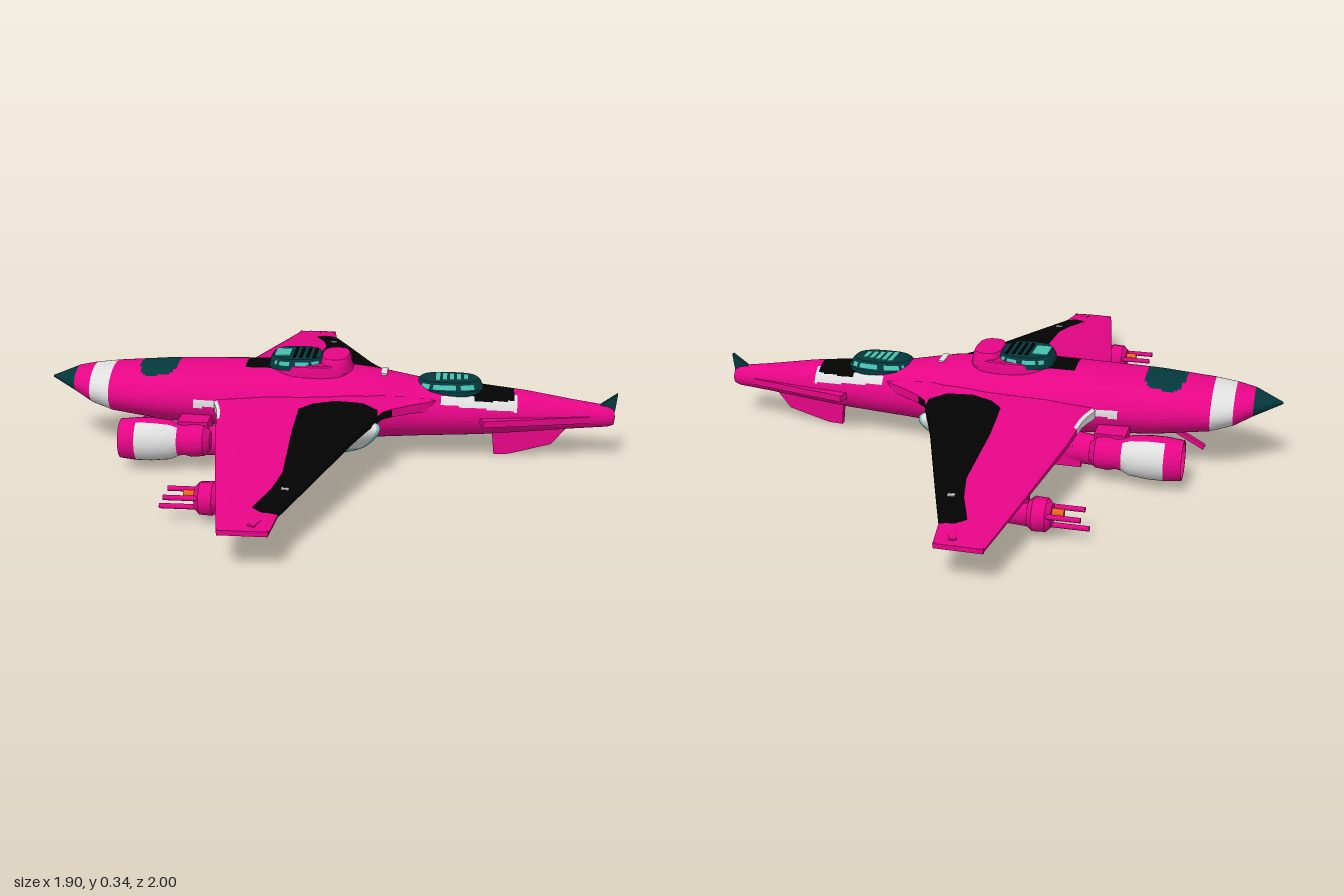
import * as THREE from 'three';
import { toCreasedNormals } from 'three/addons/utils/BufferGeometryUtils.js';

const mat = (name, color, side = THREE.FrontSide) => {
  const m = new THREE.MeshStandardMaterial({ color, side });
  m.name = name;
  return m;
};

export function createModel() {
  const model = new THREE.Group();
  const PINK = 0, WHITE = 1, BLACK = 2, DARK = 3, TEAL = 4, ORANGE = 5, NAVY = 6, PALE = 7;
  const mats = [
    mat('magenta', 0xe50586), mat('offWhite', 0xdedede, THREE.DoubleSide), mat('black', 0x030303),
    mat('darkTeal', 0x04383d), mat('lightTeal', 0x45bfae), mat('orange', 0xe8641a), mat('navy', 0x17406e),
    mat('paleTeal', 0x7cc4ba, THREE.DoubleSide),
  ];
  const add = (name, geo, m) => {
    const mesh = new THREE.Mesh(geo, m === undefined ? mats : mats[m]);
    mesh.name = name;
    model.add(mesh);
    return mesh;
  };

  // Surface patch from a rule; colour(centre, i, j) picks the material of each cell
  function grid(name, nu, nv, point, colour, flip = false) {
    const P = [], pos = [], lists = mats.map(() => []);
    for (let i = 0; i <= nu; i++) for (let j = 0; j <= nv; j++) {
      const p = point(i, j);
      P.push(p);
      pos.push(p.x, p.y, p.z);
    }
    for (let i = 0; i < nu; i++) for (let j = 0; j < nv; j++) {
      const a = i * (nv + 1) + j, b = a + nv + 1, c = b + 1, d = a + 1;
      const mid = new THREE.Vector3().add(P[a]).add(P[b]).add(P[c]).add(P[d]).divideScalar(4);
      const list = lists[colour(mid, i, j)];
      if (flip) list.push(a, c, b, a, d, c);
      else list.push(a, b, c, a, c, d);
    }
    const geo = new THREE.BufferGeometry();
    geo.setAttribute('position', new THREE.Float32BufferAttribute(pos, 3));
    let start = 0;
    lists.forEach((l, k) => {
      if (l.length) geo.addGroup(start, l.length, k);
      start += l.length;
    });
    geo.setIndex(lists.flat());
    return add(name, toCreasedNormals(geo, 0.6));
  }

  // Rounded body along x; section = [x, centre z, half width, top, middle, bottom]
  function loft(name, sections, colour = () => PINK, sides = 24) {
    return grid(name, sections.length - 1, sides, (i, j) => {
      const [x, cz, w, top, mid, bot] = sections[i];
      const t = (j % sides) / sides * Math.PI * 2, s = Math.sin(t);
      return new THREE.Vector3(x, mid + s * (s > 0 ? top - mid : mid - bot), cz + w * Math.cos(t));
    }, colour);
  }
  const round = (cy, cz, profile) => profile.map(([x, r]) => [x, cz, r, cy + r, cy, cy - r]);

  // Rounded-oblong dome of stacked rings [scale, y], closing on top
  function dome(name, x, rx, rz, rings, colour = () => PINK) {
    const soft = (v) => Math.sign(v) * Math.abs(v) ** 0.75;
    return grid(name, rings.length - 1, 48, (i, j) => {
      const [k, y] = rings[i], t = (j % 48) / 48 * Math.PI * 2;
      return new THREE.Vector3(x + rx * k * soft(Math.cos(t)), y, rz * k * soft(Math.sin(t)));
    }, colour);
  }

  const plate = (points, depth) => new THREE.ExtrudeGeometry(
    new THREE.Shape(points.map(([x, y]) => new THREE.Vector2(x, y))),
    { depth, bevelEnabled: false }).translate(0, 0, -depth / 2);
  const box = (name, m, x, y, z, w, h, d) => add(name, new THREE.BoxGeometry(w, h, d).translate(x, y, z), m);

  // Fuselage: x, half width, top, bottom
  const keys = [
    [-0.95, 0.003, 0.233, 0.227], [-0.86, 0.075, 0.268, 0.185], [-0.8, 0.11, 0.278, 0.15],
    [-0.73, 0.135, 0.285, 0.127], [-0.55, 0.155, 0.298, 0.1], [-0.35, 0.165, 0.303, 0.085],
    [-0.2, 0.18, 0.305, 0.07], [0, 0.175, 0.3, 0.055], [0.15, 0.15, 0.285, 0.06],
    [0.3, 0.115, 0.258, 0.066], [0.5, 0.092, 0.242, 0.075], [0.65, 0.075, 0.225, 0.088],
    [0.8, 0.052, 0.2, 0.102], [0.92, 0.038, 0.182, 0.112], [0.94, 0.028, 0.172, 0.118], [0.945, 0, 0.145, 0.145],
  ];
  const sections = [];
  keys.slice(0, -1).forEach((a, k) => {
    const b = keys[k + 1], n = Math.max(1, Math.round((b[0] - a[0]) / 0.01));
    for (let i = 0; i < n; i++) {
      const [x, w, top, bot] = a.map((v, c) => v + (b[c] - v) * i / n);
      sections.push([x, 0, w, top, top * 0.48 + bot * 0.52, bot]);
    }
  });
  sections.push([0.945, 0, 0, 0.145, 0.145, 0.145]);
  loft('fuselage', sections, ({ x, y, z }) => {
    const az = Math.abs(z);
    if (x < -0.86) return DARK;
    if (x > -0.8 && x < -0.73) return WHITE;
    if (y > 0.2 && ((x + 0.573) / 0.063) ** 4 + (az / 0.097) ** 4 < 1) return DARK;
    if (y > 0.2 && x > -0.28 && x < -0.18 && az < 0.06) return BLACK;
    if (x > 0.4 && x < 0.61 && y > (x < 0.48 ? 0.222 : 0.207)) return BLACK;
    if (x > 0.37 && x < 0.62 && y > 0.2 - (x - 0.37) * 0.1 && y < 0.222) return WHITE;
    if (x > -0.44 && x < -0.34 && y > 0.188 && y < 0.213) return WHITE;
    return PINK;
  }, 96);

  // Wings: z, leading x, trailing x, black from, black to, centre y, half thickness
  const stations = [
    [0.06, -0.39, 0.4, 0.05, 0.05, 0.195, 0.05], [0.1, -0.385, 0.34, 0.05, 0.05, 0.195, 0.046],
    [0.14, -0.375, 0.27, 0.05, 0.06, 0.195, 0.042], [0.18, -0.365, 0.215, 0.03, 0.12, 0.195, 0.038],
    [0.21, -0.355, 0.185, -0.04, 0.17, 0.195, 0.035], [0.25, -0.345, 0.172, -0.08, 0.172, 0.194, 0.031],
    [0.3, -0.338, 0.15, -0.082, 0.15, 0.189, 0.027],
    [0.4, -0.325, 0.11, -0.085, 0.11, 0.178, 0.021], [0.66, -0.28, 0.02, -0.08, 0.02, 0.153, 0.015],
    [0.76, -0.263, -0.015, -0.1, -0.015, 0.143, 0.013], [0.87, -0.243, -0.054, -0.14, -0.054, 0.132, 0.011],
    [0.895, -0.239, -0.063, -0.11, -0.063, 0.13, 0.01], [1, -0.22, -0.075, -0.11, -0.075, 0.12, 0.009],
  ];
  const spans = stations.length - 1, blunt = 0.35;
  const isBlack = (i) => i >= 3 && i < 11, isWhite = (i) => i >= 2 && i < 6;
  for (const s of [1, -1]) {
    for (const up of [1, -1]) {
      grid('wing', spans, 7, (i, j) => {
        const [z, x0, x1, b0, b1, y, h] = stations[i];
        const x = [x0, x0 + 0.011, x0 * 0.6 + b0 * 0.4, b0, (b0 + b1) / 2, b1, (b1 + x1) / 2, x1][j];
        const t = (x - x0) / (x1 - x0);
        return new THREE.Vector3(x, y + up * h * (blunt + (1 - blunt) * Math.sqrt(Math.max(0, 4 * t * (1 - t)))), s * z);
      }, (c, i, j) => (isBlack(i) && (j === 3 || j === 4) ? BLACK : j === 0 && isWhite(i) ? WHITE : PINK), s * up < 0);
    }
    // Blunt edges closing the wing: leading, trailing, tip
    for (const edge of [1, 2]) {
      grid('wingEdge', spans, 1, (i, j) => {
        const st = stations[i];
        return new THREE.Vector3(st[edge], st[5] + (j ? 1 : -1) * st[6] * blunt, s * st[0]);
      }, (c, i) => (edge === 2 ? (isBlack(i) ? BLACK : PINK) : isWhite(i) ? WHITE : PINK), (edge === 2) === (s > 0));
    }
    box('wingTip', PINK, -0.148, 0.12, s * 0.995, 0.143, 0.015, 0.01);
    box('wingMark', WHITE, -0.06, 0.155, s * 0.755, 0.022, 0.005, 0.012);
    const strip = box('wingTipStrip', PINK, 0, 0, 0, 0.022, 0.006, 0.085);
    strip.position.set(-0.115, 0.132, s * 0.935);
    strip.rotation.y = s * -0.3;

    // Engine pod with a white outer and lower panel and a glowing core
    loft('enginePod', round(0.1, s * 0.235, [[-0.62, 0], [-0.62, 0.034], [-0.61, 0.052], [-0.665, 0.058], [-0.665, 0.064],
      [-0.61, 0.07], [-0.56, 0.07], [-0.5, 0.064], [-0.475, 0.052], [-0.455, 0.048], [-0.43, 0.054], [-0.39, 0.05],
      [-0.37, 0.03], [-0.365, 0]]),
    ({ y, z }, i) => {
      if (i === 0) return ORANGE;
      return i >= 5 && i < 8 && s * z - 0.235 > y - 0.135 ? WHITE : PINK;
    }, 32);
    box('podPylon', PINK, -0.43, 0.135, s * 0.18, 0.1, 0.05, 0.1);

    // Belly duct joining pod and intake
    loft('bellyDuct', [[-0.45, s * 0.2, 0, 0.09, 0.09, 0.09], [-0.42, s * 0.2, 0.05, 0.13, 0.085, 0.04],
      [-0.2, s * 0.17, 0.06, 0.15, 0.09, 0.035], [-0.19, s * 0.17, 0.045, 0.14, 0.09, 0.045],
      [-0.05, s * 0.14, 0.06, 0.15, 0.1, 0.045], [0.1, s * 0.1, 0, 0.1, 0.1, 0.1]]);
    box('bellyBlock', PINK, -0.27, 0.075, s * 0.2, 0.14, 0.07, 0.07);

    // Slanted intake swept back towards the body: duct, pale lip and striped grille
    const tilt = 0.58, ring = (x0, ka, kb, t) => {
      const a = 0.12 * ka * Math.cos(t), b = 0.046 * kb * Math.sin(t);
      const out = a * Math.cos(tilt) - b * Math.sin(tilt), rise = a * Math.sin(tilt) + b * Math.cos(tilt);
      return new THREE.Vector3(x0 + out * 0.5 + rise * 0.35, 0.115 + rise, s * (0.19 + out));
    };
    // Duct rings: x, scale along, scale across
    const duct = [[-0.24, 0.3, 0.4], [-0.12, 0.75, 0.9], [0, 0.96, 1], [0.045, 1, 1], [0.1, 0.99, 0.98],
      [0.115, 0.93, 0.9], [0.1, 0.78, 0.76]];
    grid('intake', duct.length - 1, 40, (i, j) => ring(...duct[i], (j % 40) / 40 * Math.PI * 2),
      (c, i) => (i < 3 ? PINK : i === 4 || c.y < 0.085 ? PALE : i === 5 ? PINK : WHITE), s < 0);
    grid('intakeGrille', 10, 48, (i, j) => ring(0.1, 0.78 * (1 - i / 10), 0.76 * (1 - i / 10), (j % 48) / 48 * Math.PI * 2),
      (c) => (Math.floor(Math.abs(c.z) * 110) % 4 === 0 ? DARK : s > 0 ? ORANGE : NAVY), s < 0);

    // Wing gun: pod, pylon and barrels
    const gz = s * 0.665;
    loft('gunPod', round(0.08, gz, [[-0.34, 0], [-0.34, 0.035], [-0.325, 0.05], [-0.285, 0.052], [-0.27, 0.04],
      [-0.2, 0.036], [-0.08, 0]]), undefined, 12);
    box('gunPylon', PINK, -0.2, 0.12, gz, 0.14, 0.06, 0.025);
    const barrel = (r, len, y, z, m, x) => add('gunBarrel',
      new THREE.CylinderGeometry(r, r, len, 10).rotateZ(Math.PI / 2).translate(x, y, z), m);
    for (const [dy, dz, len] of [[0.012, -0.036, 0.11], [0.012, 0.036, 0.11], [-0.03, 0, 0.13]]) {
      barrel(0.008, len, 0.08 + dy, gz + dz, PINK, -0.32 - len / 2);
    }
    barrel(0.013, 0.04, 0.09, gz, ORANGE, -0.355);

    // Side strake near the cockpit
    add('sideStrake', plate([[0.49, s * 0.06], [0.51, s * 0.125], [0.62, s * 0.1], [0.86, s * 0.046], [0.8, s * 0.02]], 0.022)
      .rotateX(Math.PI / 2).translate(0, 0.145, 0), PINK);
  }

  // Upper turret
  dome('turretBase', -0.06, 0.135, 0.1, [[1, 0.26], [1, 0.295], [0.95, 0.314], [0.9, 0.318], [0, 0.318]]);
  dome('turretCanopy', -0.11, 0.095, 0.093, [[1, 0.3], [0.97, 0.316], [0.92, 0.328], [0.85, 0.336], [0, 0.337]],
    ({ x, z }, i, j) => (i === 1 && Math.abs(z) > 0.06 && x > -0.18 && j % 4 ? TEAL : DARK));
  dome('turretCowl', 0.018, 0.052, 0.088, [[1, 0.29], [0.97, 0.322], [0.85, 0.337], [0, 0.339]]);
  box('turretWindow', TEAL, -0.158, 0.336, 0, 0.052, 0.006, 0.085);
  for (let k = 0; k < 4; k++) box('turretRib', BLACK, -0.117 + k * 0.022, 0.336, 0, 0.01, 0.006, 0.11);

  // Cockpit canopy with light panes
  dome('cockpitCanopy', 0.395, 0.115, 0.072, [[1, 0.2], [1, 0.238], [0.96, 0.242], [0.9, 0.257], [0.82, 0.265], [0, 0.267]],
    ({ x }, i, j) => (i === 2 && Math.abs(x - 0.395) < 0.09 && j % 5 ? TEAL : DARK));
  for (let k = 0; k < 5; k++) box('cockpitPane', TEAL, 0.358 + k * 0.023, 0.266, 0, 0.017, 0.006, 0.088 - k * 0.008);
  box('spinePanel', WHITE, 0.18, 0.279, 0, 0.02, 0.006, 0.07);

  // Fins and tail hook
  add('noseFin', plate([[0.88, 0.165], [0.895, 0.185], [0.95, 0.225], [0.943, 0.165]], 0.016), DARK);
  add('ventralFin', plate([[0.54, 0.1], [0.55, 0.002], [0.6, 0.005], [0.74, 0.045], [0.8, 0.12]], 0.02), PINK);
  const hook = box('tailHook', PINK, 0, 0, 0, 0.13, 0.014, 0.02);
  hook.position.set(-0.65, 0.08, 0);
  hook.rotation.z = 0.5;
  return model;
}
